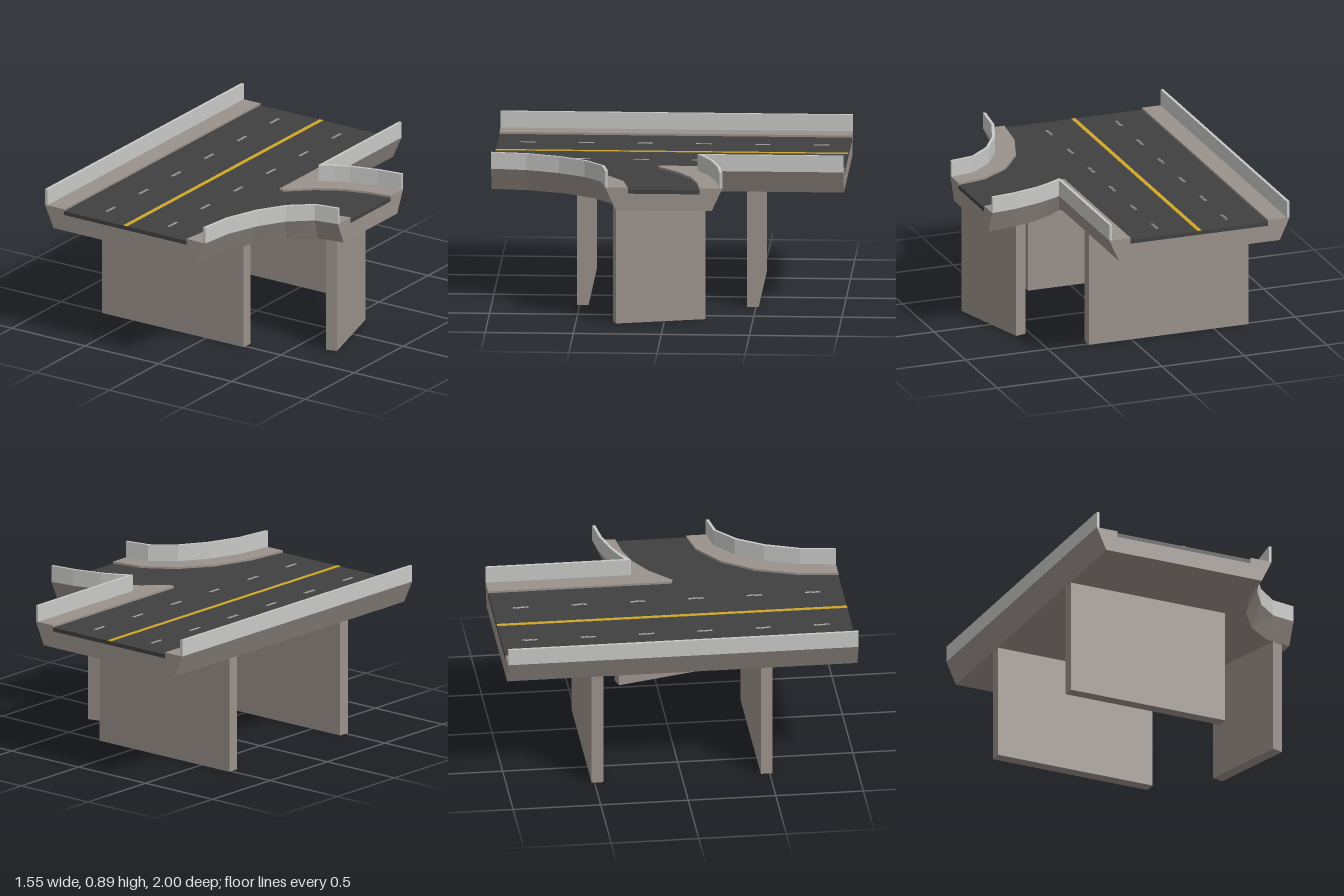
import * as THREE from 'three';

const BOTTOM = 0.67, TOP = 0.8, RAIL = 0.895, FLOOR = 0.765, ROAD = 0.788;

const material = (name, color) => {
  const m = new THREE.MeshStandardMaterial({ color });
  m.name = name;
  return m;
};

// Edge stations [outerX, outerZ, roadX, roadZ], running counterclockwise seen from above
const EDGES = {
  left: [[-0.775, -1, -0.645, -1], [-0.775, 1, -0.645, 1]],
  frontRamp: [
    [0.32, 1, 0.19, 1], [0.345, 0.8, 0.22, 0.76], [0.415, 0.61, 0.3, 0.53],
    [0.51, 0.46, 0.43, 0.35], [0.635, 0.355, 0.6, 0.235], [0.775, 0.33, 0.775, 0.2],
  ],
  backRamp: [
    [0.775, -0.335, 0.775, -0.205], [0.625, -0.315, 0.63, -0.185], [0.465, -0.27, 0.49, -0.145],
    [0.39, -0.238, 0.35, -0.065], [0.32, -0.205, 0.215, 0.055], [0.32, -0.215, 0.19, 0.05],
    [0.32, -1, 0.19, -1],
  ],
};

// Point between the outer edge (t = 0) and the road edge (t = 1) at height y
const at = ([ox, oz, rx, rz], t, y) => [ox + (rx - ox) * t, y, oz + (rz - oz) * t];
const deckSection = s => [at(s, 0.46, BOTTOM), at(s, 0, TOP), at(s, 1, TOP), at(s, 1, FLOOR)];
const railSection = s => [at(s, 0, TOP), at(s, 0, RAIL), at(s, 0.13, RAIL), at(s, 0.13, TOP)];

// Triangles between successive open sections
function sweep(sections) {
  const out = [];
  for (let i = 0; i + 1 < sections.length; i++) {
    const p = sections[i], q = sections[i + 1];
    for (let j = 0; j + 1 < p.length; j++) {
      out.push(...p[j], ...q[j], ...q[j + 1], ...p[j], ...q[j + 1], ...p[j + 1]);
    }
  }
  return out;
}

// Triangles filling a flat polygon, facing along an axis (0 x, 1 y, 2 z) with a sign
function fill(points, axis, sign) {
  const [u, v] = [[1, 2], [2, 0], [0, 1]][axis];
  const flat = points.map(p => new THREE.Vector2(p[u], p[v]));
  const out = [];
  for (const [a, b, c] of THREE.ShapeUtils.triangulateShape(flat, [])) {
    const area = flat[b].clone().sub(flat[a]).cross(flat[c].clone().sub(flat[a]));
    const order = area * sign > 0 ? [a, b, c] : [a, c, b];
    order.forEach(i => out.push(...points[i]));
  }
  return out;
}

function mesh(name, triangles, mat) {
  const g = new THREE.BufferGeometry();
  g.setAttribute('position', new THREE.Float32BufferAttribute(triangles, 3));
  g.computeVertexNormals();
  const m = new THREE.Mesh(g, mat);
  m.name = name;
  return m;
}

function box(name, size, position, mat) {
  const m = new THREE.Mesh(new THREE.BoxGeometry(...size), mat);
  m.name = name;
  m.position.set(...position);
  return m;
}

export function createModel() {
  const concrete = material('concrete', 0x9a918b);
  const railGrey = material('barrier grey', 0xc8c8c6);
  const asphalt = material('asphalt', 0x404040);
  const yellow = material('yellow paint', 0xcfa728);
  const white = material('lane paint', 0xb4b4b2);

  const model = new THREE.Group();
  model.name = 'bridgeJunction';

  const { left, frontRamp, backRamp } = EDGES;
  const edges = [left, frontRamp, backRamp];
  const outline = (t, y) => edges.flat().map(s => at(s, t, y));

  // Open ends: the last station of one edge faces the first of the next
  const ends = [
    [left[1], frontRamp[0], 2, 1],
    [frontRamp.at(-1), backRamp[0], 0, 1],
    [backRamp.at(-1), left[0], 2, -1],
  ];

  // Deck with sloping flanks, kerbs, underside and end faces
  const deck = fill(outline(0.46, BOTTOM), 1, -1);
  edges.forEach(e => deck.push(...sweep(e.map(deckSection))));
  ends.forEach(([a, b, axis, sign]) =>
    deck.push(...fill([...deckSection(a), ...deckSection(b).reverse()], axis, sign)));
  model.add(mesh('deck', deck, concrete));

  // Road surface set down between the kerbs
  const road = fill(outline(1, ROAD), 1, 1);
  ends.forEach(([a, b, axis, sign]) =>
    road.push(...fill([at(a, 1, FLOOR), at(a, 1, ROAD), at(b, 1, ROAD), at(b, 1, FLOOR)], axis, sign)));
  model.add(mesh('road', road, asphalt));

  // Side barriers
  for (const [name, e] of Object.entries(EDGES)) {
    const sections = e.map(railSection);
    const axisOf = s => (Math.abs(s[1]) === 1 ? [2, s[1]] : [0, 1]);
    model.add(mesh(name + 'Barrier', [
      ...sweep(sections),
      ...fill(sections[0], ...axisOf(e[0])),
      ...fill(sections.at(-1), ...axisOf(e.at(-1))),
    ], railGrey));
  }

  // Painted centre line and paired lane dashes
  model.add(box('centreLine', [0.025, 0.003, 2], [-0.2275, ROAD + 0.001, 0], yellow));
  for (const x of [-0.44, -0.017]) {
    for (let i = 0; i < 6; i++) {
      for (const dx of [-0.005, 0.005]) {
        model.add(box('laneDash', [0.004, 0.002, 0.088],
          [x + dx, ROAD + 0.001, -0.838 + i * 0.3335], white));
      }
    }
  }

  // Wall piers under the main deck and an angled one under the ramp
  for (const z of [-0.483, 0.483]) {
    model.add(box('mainPier', [0.968, BOTTOM, 0.067], [-0.226, BOTTOM / 2, z], concrete));
  }
  const rampPier = box('rampPier', [0.067, BOTTOM, 0.52], [0.628, BOTTOM / 2, 0.03], concrete);
  rampPier.rotation.y = 0.272;
  model.add(rampPier);

  return model;
}
